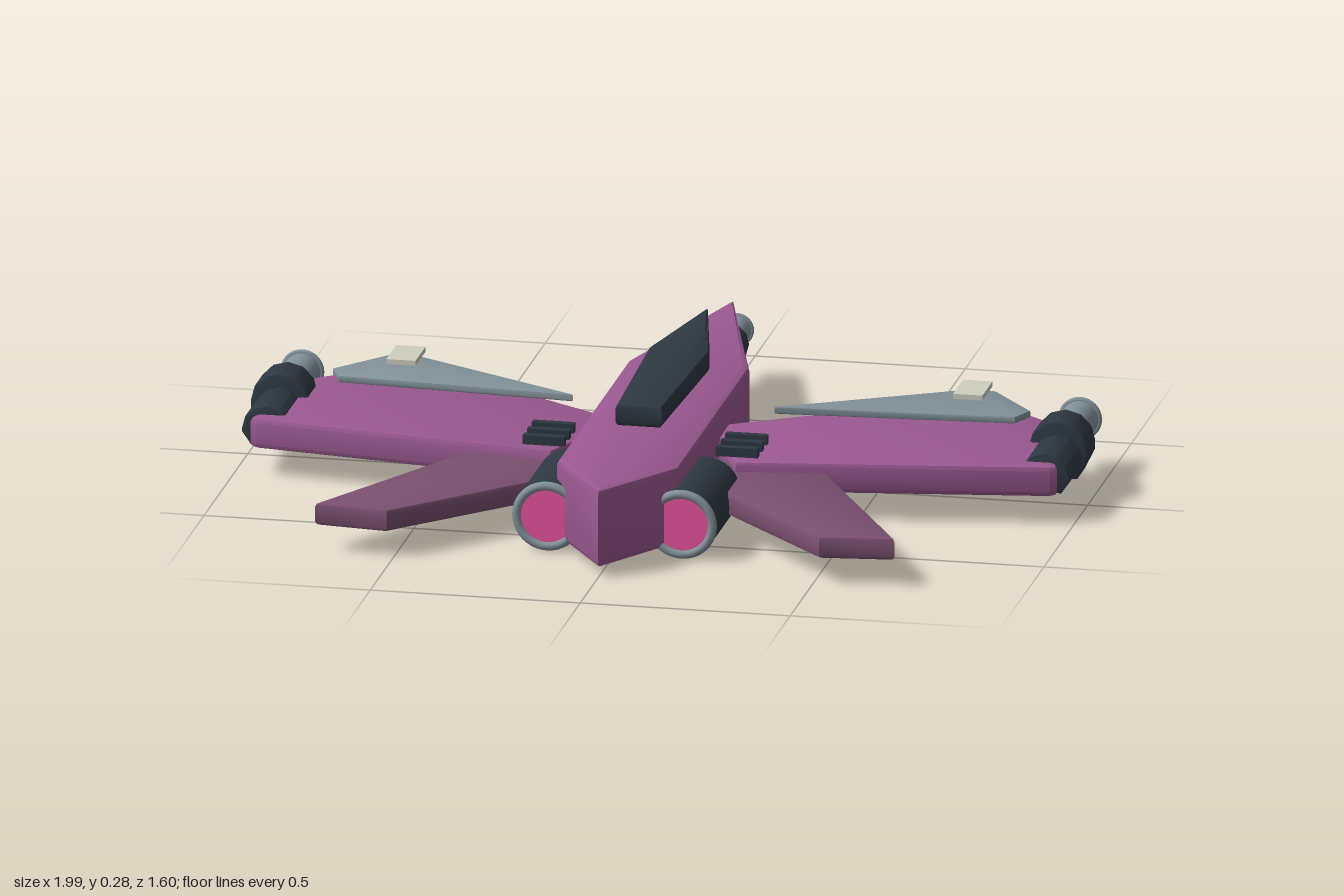
import * as THREE from 'three';
import { toCreasedNormals } from 'three/addons/utils/BufferGeometryUtils.js';

const mat = (color) => new THREE.MeshStandardMaterial({ color, side: THREE.DoubleSide });
const M = {
  hull: mat(0x9a5890), fin: mat(0x7a5070), dark: mat(0x2d3842),
  grey: mat(0x82929a), pink: mat(0xe8559f), cream: mat(0xcfcfbf),
};

function add(parent, name, geometry, material, x = 0, y = 0, z = 0) {
  const m = new THREE.Mesh(geometry, material);
  m.name = name;
  m.position.set(x, y, z);
  parent.add(m);
  return m;
}

function bevelled(points, depth, bevel) {
  const shape = new THREE.Shape(points.map(([a, b]) => new THREE.Vector2(a, b)));
  const g = new THREE.ExtrudeGeometry(shape, {
    depth: depth - 2 * bevel, bevelEnabled: bevel > 0, bevelSize: bevel,
    bevelThickness: bevel, bevelOffset: -bevel, bevelSegments: 2,
  });
  g.translate(0, 0, bevel);
  return toCreasedNormals(g, 0.6);
}

// Horizontal plate from [x, z] outline, between two heights
function plate(points, y0, y1, bevel) {
  const g = bevelled(points.map(([x, z]) => [x, -z]), y1 - y0, bevel);
  return g.rotateX(-Math.PI / 2).translate(0, y0, 0);
}

// Cylinder along z; r0 at the low-z end, r1 at the high-z end
function tubeZ(r0, r1, z0, z1, sides = 32) {
  const g = new THREE.CylinderGeometry(r1, r0, z1 - z0, sides);
  return g.rotateX(Math.PI / 2).translate(0, 0, (z0 + z1) / 2);
}

const mirrored = (half) => [...half, ...half.filter(([x]) => x > 0).reverse().map(([x, z]) => [-x, z])];

// Barrel pointing to -z with a flared rim and a glowing bore
function barrel(parent, name, r, z0, z1, x, y) {
  const g = new THREE.Group();
  g.name = name;
  g.position.set(x, y, 0);
  parent.add(g);
  add(g, 'barrelTube', tubeZ(r, r, z0, z1), M.grey);
  add(g, 'muzzleRim', new THREE.TorusGeometry(r * 1.02, r * 0.16, 8, 32), M.grey, 0, 0, z0 + r * 0.16);
  add(g, 'muzzleGlow', tubeZ(r * 0.6, r * 0.6, z0 - 0.002, z0 + 0.01), M.pink);
}

// Arched block with a narrowed underside
function podBlock(hw, y0, y1, z0, z1) {
  const mid = y1 - hw, pts = [[-hw * 0.65, y0], [hw * 0.65, y0], [hw, Math.max(mid - 0.02, y0 + 0.03)]];
  for (let i = 0; i <= 6; i++) {
    const a = (i / 6) * Math.PI;
    pts.push([Math.cos(a) * hw, mid + Math.sin(a) * hw]);
  }
  pts.push([-hw, Math.max(mid - 0.02, y0 + 0.03)]);
  return bevelled(pts, z1 - z0, 0.006).translate(0, 0, z0);
}

export function createModel() {
  const root = new THREE.Group();
  root.name = 'spacecraft';

  // Body and canopy
  add(root, 'fuselage', plate(mirrored([[0, 0.795], [0.145, 0.57], [0.145, -0.24], [0, -0.755]]), 0.03, 0.22, 0.014), M.hull);
  add(root, 'canopy', plate(mirrored([[0.055, 0.335], [0.073, -0.13], [0, -0.46]]), 0.235, 0.29, 0.012), M.dark);

  // Nose gun
  add(root, 'noseCollar', tubeZ(0.051, 0.036, -0.685, -0.615, 12), M.dark, 0, 0.135, 0);
  barrel(root, 'noseGun', 0.034, -0.8, -0.66, 0, 0.135);

  for (const s of [1, -1]) {
    const side = new THREE.Group();
    side.name = s > 0 ? 'leftSide' : 'rightSide';
    root.add(side);
    const flip = (pts) => pts.map(([x, z]) => [s * x, z]);

    // Wing with inset panel
    add(side, 'wing', plate(flip([[0.13, -0.01], [0.645, -0.335], [0.68, -0.34], [0.88, -0.18],
      [0.96, 0.16], [0.945, 0.172], [0.22, 0.28], [0.13, 0.07]]), 0.075, 0.15, 0.012), M.hull);
    add(side, 'wingPanel', plate(flip([[0.24, -0.068], [0.67, -0.305], [0.72, -0.295], [0.83, -0.16],
      [0.805, -0.103]]), 0.163, 0.18, 0.003), M.grey);
    add(side, 'wingMarker', new THREE.BoxGeometry(0.07, 0.012, 0.115), M.cream, s * 0.675, 0.194, -0.247);

    // Rear fin
    add(side, 'rearFin', plate(flip([[0.13, 0.34], [0.515, 0.742], [0.69, 0.72], [0.4, 0.19], [0.13, 0.17]]), 0.07, 0.125, 0.01), M.fin);

    // Cooling bars
    for (const z of [0.2, 0.253, 0.306])
      add(side, 'coolingBar', new THREE.BoxGeometry(0.1, 0.022, 0.02), M.dark, s * 0.23, 0.183, z);

    // Engine
    const engine = new THREE.Group();
    engine.name = 'engine';
    engine.position.set(s * 0.16, 0.092, 0);
    side.add(engine);
    add(engine, 'engineCasing', tubeZ(0.082, 0.082, 0.33, 0.605), M.dark);
    add(engine, 'nozzleRing', new THREE.TorusGeometry(0.073, 0.011, 10, 40), M.grey, 0, 0, 0.608);
    add(engine, 'engineGlow', tubeZ(0.064, 0.064, 0.59, 0.611), M.pink);

    // Wingtip cannon
    const pod = new THREE.Group();
    pod.name = 'wingtipCannon';
    pod.position.x = s * 0.926;
    side.add(pod);
    add(pod, 'podBody', podBlock(0.06, 0.075, 0.172, -0.02, 0.14), M.dark);
    add(pod, 'podSleeve', podBlock(0.07, 0.065, 0.205, -0.112, -0.01), M.dark);
    barrel(pod, 'cannonBarrel', 0.044, -0.278, -0.1, 0, 0.134);
  }
  return root;
}
